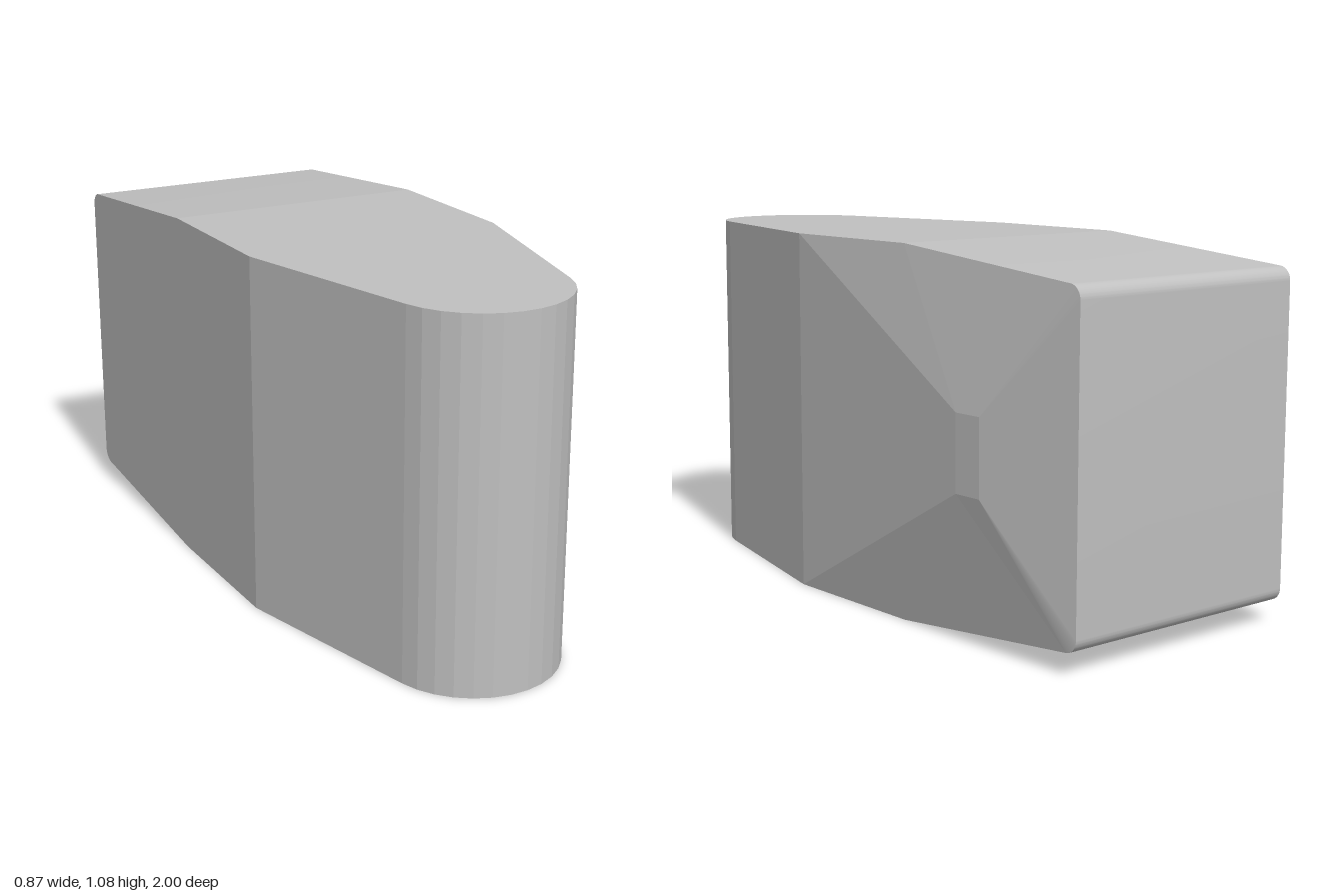
import * as THREE from 'three';
import { toCreasedNormals } from 'three/addons/utils/BufferGeometryUtils.js';

const MID_Y = 0.5375;   // mid height of the block
const MID_X = -0.033;   // centre line of the block
const HALF_W = 0.4;

// Collects triangles and quads, corners anticlockwise from outside
function faceBuilder() {
  const pos = [];
  const tri = (a, b, c) => pos.push(...a, ...b, ...c);
  const quad = (a, b, c, d) => { tri(a, b, c); tri(a, c, d); };
  const build = () => {
    const g = new THREE.BufferGeometry();
    g.setAttribute('position', new THREE.Float32BufferAttribute(pos, 3));
    g.computeVertexNormals();
    return g;
  };
  return { tri, quad, build };
}

// Rectangular sections from the nose to the back: z, half width, half height
function makeSections() {
  const list = [];
  const step = THREE.MathUtils.degToRad(76 / 6.5);
  for (let k = 0; k < 7; k++) { // faceted round nose
    const a = (k + 0.5) * step;
    list.push({ z: 0.7414 + 0.26 * Math.cos(a), w: 0.26 * Math.sin(a), h: MID_Y });
  }
  list.push({ z: 0.2, w: HALF_W, h: MID_Y }, { z: -0.3, w: HALF_W, h: MID_Y });
  const start = THREE.MathUtils.degToRad(5.3);
  for (let k = 0; k <= 20; k++) { // rounded back edges
    const a = start + (Math.PI / 2 - start) * k / 20;
    list.push({ z: -0.96 - 0.04 * Math.sin(a), w: HALF_W, h: 0.436 + 0.04 * Math.cos(a) });
  }
  return list;
}

const corner = (s, sx, sy) => [MID_X + sx * s.w, MID_Y + sy * s.h, s.z];

// Shell of the block, open where the side bulge closes it
function bodyGeometry(sections) {
  const f = faceBuilder();
  for (let i = 0; i < sections.length - 1; i++) {
    const a = sections[i], b = sections[i + 1];
    f.quad(corner(a, -1, 1), corner(a, 1, 1), corner(b, 1, 1), corner(b, -1, 1));
    f.quad(corner(a, -1, -1), corner(b, -1, -1), corner(b, 1, -1), corner(a, 1, -1));
    f.quad(corner(a, -1, -1), corner(a, -1, 1), corner(b, -1, 1), corner(b, -1, -1));
    if (a.z > 0.21) {
      f.quad(corner(a, 1, -1), corner(b, 1, -1), corner(b, 1, 1), corner(a, 1, 1));
    }
  }
  const n = sections[0], e = sections[sections.length - 1];
  f.quad(corner(n, -1, -1), corner(n, 1, -1), corner(n, 1, 1), corner(n, -1, 1));
  f.quad(corner(e, 1, -1), corner(e, -1, -1), corner(e, -1, 1), corner(e, 1, 1));
  return toCreasedNormals(f.build(), 0.085);
}

// Shallow faceted bulge rising to a small rectangle
function bulgeGeometry(sections) {
  const f = faceBuilder();
  const rim = sections.filter(s => s.z < 0.21);
  const last = rim[rim.length - 1];
  const peak = (z, sy) => [0.432, MID_Y + sy * 0.11, z];
  const front = sy => peak(-0.6, sy), back = sy => peak(-0.695, sy);
  for (const sy of [1, -1]) {
    const tri = (a, b, c) => (sy > 0 ? f.tri(a, b, c) : f.tri(a, c, b));
    for (let i = 0; i < rim.length - 1; i++) {
      const a = corner(rim[i], 1, sy), b = corner(rim[i + 1], 1, sy);
      tri(i < 2 ? front(sy) : back(sy), b, a);
      if (i === 1) tri(front(sy), back(sy), b);
    }
  }
  f.quad(corner(rim[0], 1, -1), front(-1), front(1), corner(rim[0], 1, 1));
  f.quad(front(-1), back(-1), back(1), front(1));
  f.quad(back(-1), corner(last, 1, -1), corner(last, 1, 1), back(1));
  return f.build();
}

export function createModel() {
  const group = new THREE.Group();
  group.name = 'roundNosedBlock';
  const grey = new THREE.MeshStandardMaterial({ color: 0xc0c0c0 });
  grey.name = 'light grey';
  const sections = makeSections();

  const body = new THREE.Mesh(bodyGeometry(sections), grey);
  body.name = 'body';
  const bulge = new THREE.Mesh(bulgeGeometry(sections), grey);
  bulge.name = 'sideBulge';
  group.add(body, bulge);
  return group;
}
